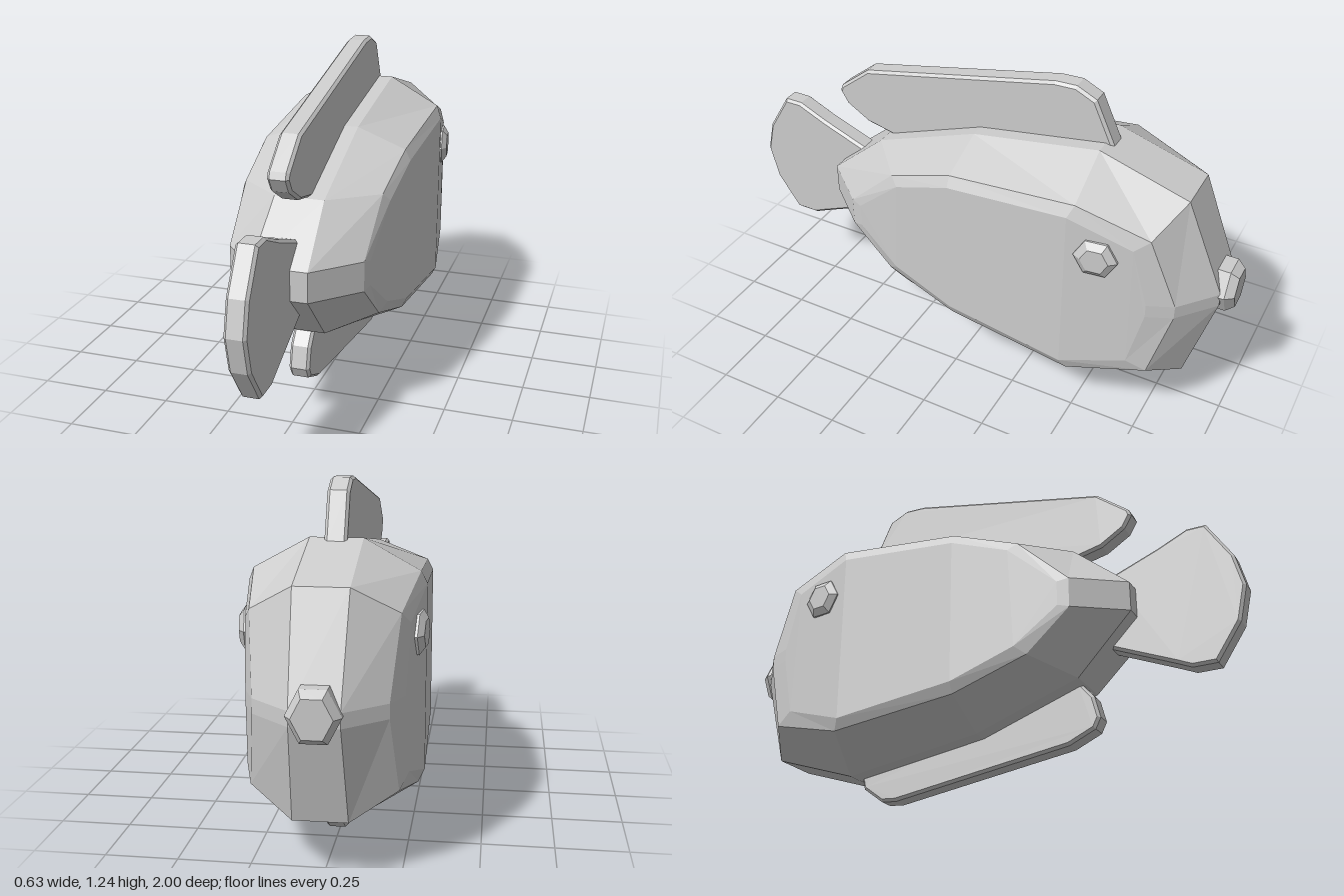
import * as THREE from 'three';

const grey = new THREE.MeshStandardMaterial({ color: 0xcccccc, flatShading: true });
grey.name = 'plain grey';

function mesh(name, geometry) {
  const m = new THREE.Mesh(geometry, grey);
  m.name = name;
  return m;
}

// Body: side outlines [z, y, half width], top row tail to head, then bottom row tail to head
const spine = {
  top: [[0.61, 0.64, 0.1], [0.4, 0.82, 0.09], [0, 0.97, 0.09], [-0.48, 1.05, 0.09], [-0.81, 0.95, 0.09], [-0.955, 0.6, 0.08]],
  bottom: [[0.61, 0.53, 0.1], [0.4, 0.32, 0.09], [0, 0.18, 0.09], [-0.53, 0.1, 0.09], [-0.86, 0.21, 0.09], [-0.955, 0.55, 0.08]],
};
const shoulder = {
  top: [[0.44, 0.63, 0.245], [0.25, 0.81, 0.255], [0, 0.9, 0.27], [-0.48, 0.945, 0.28], [-0.74, 0.86, 0.24], [-0.84, 0.6, 0.215]],
  bottom: [[0.44, 0.52, 0.245], [0.28, 0.37, 0.255], [0, 0.27, 0.27], [-0.48, 0.21, 0.28], [-0.77, 0.29, 0.24], [-0.84, 0.55, 0.215]],
};
const flank = {
  top: [[0.4, 0.62, 0.255], [0.22, 0.78, 0.275], [0, 0.86, 0.29], [-0.46, 0.9, 0.3], [-0.69, 0.82, 0.265], [-0.75, 0.6, 0.255]],
  bottom: [[0.4, 0.53, 0.255], [0.24, 0.4, 0.275], [0, 0.31, 0.29], [-0.46, 0.25, 0.3], [-0.7, 0.33, 0.265], [-0.75, 0.55, 0.255]],
};

function bodyGeometry() {
  const layers = [[flank, -1], [shoulder, -1], [spine, -1], [spine, 1], [shoulder, 1], [flank, 1]];
  const position = [], index = [];
  for (const [ring, side] of layers)
    for (const [z, y, w] of [...ring.top, ...[...ring.bottom].reverse()]) position.push(side * w, y, z);
  const n = 12;
  const quad = (a, b, c, d) => index.push(a, b, c, a, c, d);
  // Bands between neighbouring outlines
  for (let i = 0; i < layers.length - 1; i++)
    for (let j = 0; j < n; j++) {
      const k = (j + 1) % n;
      quad(i * n + j, (i + 1) * n + j, (i + 1) * n + k, i * n + k);
    }
  // Broad side faces
  const last = (layers.length - 1) * n;
  for (let k = 0; k < n / 2 - 1; k++) {
    quad(last + k, last + n - 1 - k, last + n - 2 - k, last + k + 1);
    quad(k, k + 1, n - 2 - k, n - 1 - k);
  }
  const g = new THREE.BufferGeometry();
  g.setAttribute('position', new THREE.Float32BufferAttribute(position, 3));
  g.setIndex(index);
  const flat = g.toNonIndexed();
  flat.computeVertexNormals();
  return flat;
}

// Fin: thin plate cut from a [z, y] outline with softened edges
function fin(name, outline, centreX) {
  const shape = new THREE.Shape(outline.map(([z, y]) => new THREE.Vector2(-z, y)));
  const g = new THREE.ExtrudeGeometry(shape, {
    depth: 0.056, bevelEnabled: true, bevelThickness: 0.01, bevelSize: 0.01, bevelOffset: -0.01, bevelSegments: 1,
  });
  g.translate(0, 0, -0.028).rotateY(Math.PI / 2).translate(centreX, 0, 0);
  return mesh(name, g);
}

// Six-sided button with a chamfered face, pointing along +y
function button(radius, depth, faceRadius) {
  const profile = [[0, 0], [radius, 0], [radius, depth * 0.6], [faceRadius, depth], [0, depth]];
  return new THREE.LatheGeometry(profile.map(([r, y]) => new THREE.Vector2(r, y)), 6);
}

export function createModel() {
  const model = new THREE.Group();
  model.name = 'fish';
  model.add(mesh('body', bodyGeometry()));

  model.add(fin('dorsalFin', [
    [0.61, 0.95], [0.58, 0.9], [0.49, 0.845], [0.38, 0.82], [0.2, 0.8], [-0.4, 0.9], [-0.51, 1.04],
    [-0.435, 1.2], [-0.36, 1.235], [-0.28, 1.232], [0.48, 1.07], [0.6, 0.975],
  ], 0));
  model.add(fin('bellyFin', [
    [0.45, 0.19], [0.43, 0.27], [0.38, 0.33], [0.2, 0.36], [-0.4, 0.25], [-0.52, 0.11],
    [-0.51, 0.065], [-0.43, 0.005], [-0.37, 0], [0.33, 0.105], [0.43, 0.15],
  ], 0.008));
  model.add(fin('tailFin', [
    [1, 0.57], [0.97, 0.69], [0.88, 0.835], [0.81, 0.835], [0.7, 0.785], [0.52, 0.715], [0.4, 0.66],
    [0.4, 0.48], [0.52, 0.425], [0.74, 0.33], [0.79, 0.307], [0.88, 0.307], [0.97, 0.44],
  ], 0));

  // Eyes on both sides, following the taper of the head
  for (const side of [1, -1]) {
    const eye = mesh(side > 0 ? 'leftEye' : 'rightEye', button(0.078, 0.045, 0.05));
    eye.position.set(side * 0.264, 0.76, -0.565);
    eye.rotation.set(0, side * 0.12, -side * Math.PI / 2);
    model.add(eye);
  }

  // Mouth
  const mouth = button(0.088, 0.075, 0.065).rotateY(Math.PI / 2).rotateX(-Math.PI / 2);
  mouth.scale(1, 1.12, 1).translate(0, 0.59, -0.925);
  model.add(mesh('mouth', mouth));

  return model;
}
